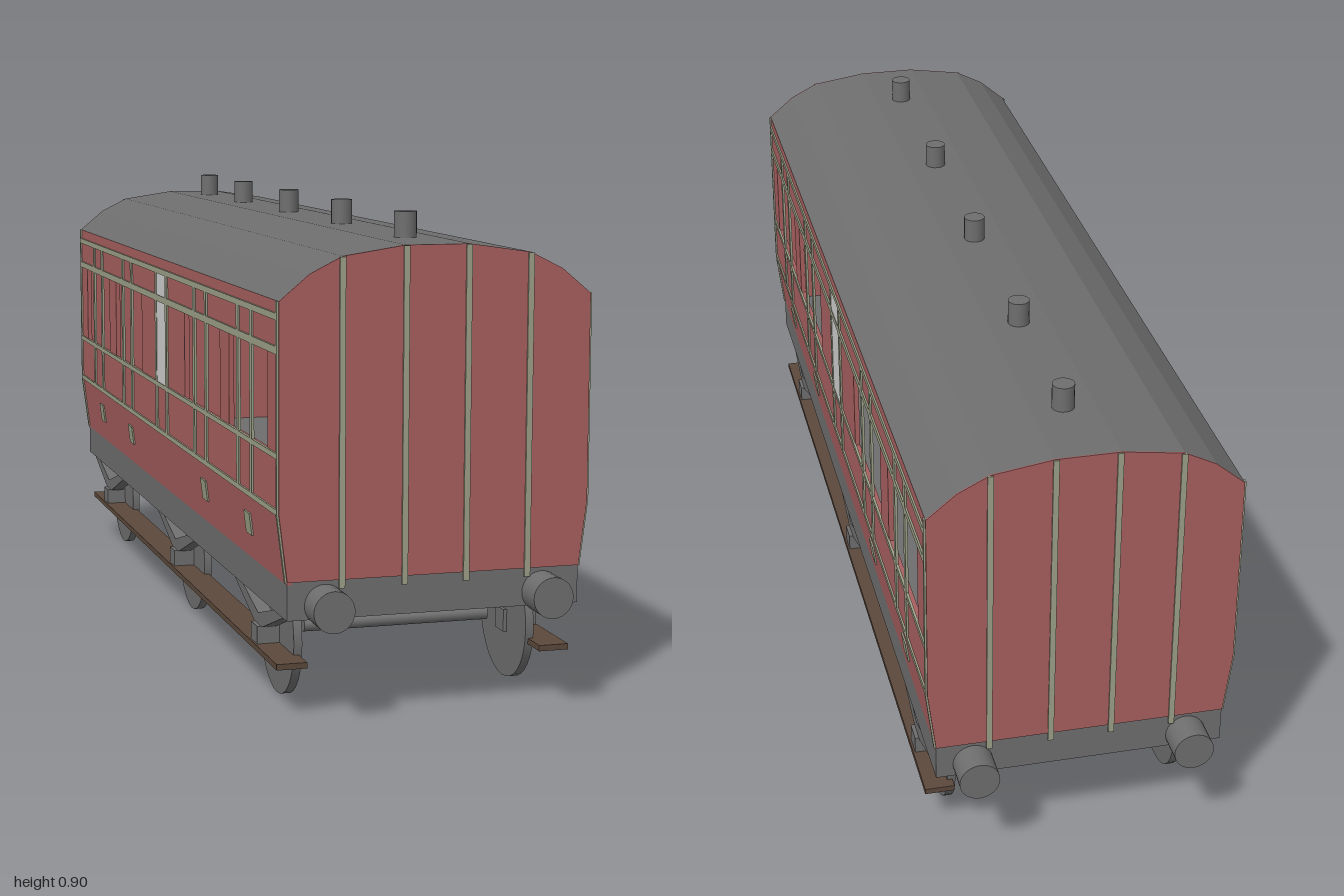
import * as THREE from 'three';

const mat = (name, color) => Object.assign(new THREE.MeshStandardMaterial({ color }), { name });

export function createModel() {
  const red = mat('carriage red', 0xa85f5f);
  const grey = mat('iron grey', 0x6e6e6e);
  const lining = mat('pale lining', 0x9da088);
  const brown = mat('wood brown', 0x5c483c);
  const pale = mat('pale door glass', 0xd0d0d0);

  const model = new THREE.Group();
  model.name = 'railwayCarriage';
  const add = (name, geo, material, x = 0, y = 0, z = 0, parent = model) => {
    const m = new THREE.Mesh(geo, material);
    m.name = name;
    m.position.set(x, y, z);
    parent.add(m);
    return m;
  };
  const box = (name, material, w, h, d, x, y, z, parent) =>
    add(name, new THREE.BoxGeometry(w, h, d), material, x, y, z, parent);
  const poly = (pts) => new THREE.Shape(pts.map(([x, y]) => new THREE.Vector2(x, y)));
  const extrude = (shape, depth) => new THREE.ExtrudeGeometry(shape, { depth, bevelEnabled: false });
  const mirrored = (half) => [...half, ...half.map(([x, y]) => [-x, y]).reverse()];

  const HALF = 0.94;   // half length of the body
  const TILT = Math.atan2(0.015, 0.12);   // inward lean of the lower sides

  // Underframe, whose top is also the floor
  box('underframe', grey, 0.55, 0.07, HALF * 2, 0, 0.225, 0);

  // Curved roof shell
  const outer = [[0.29, 0.757], [0.235, 0.803], [0.175, 0.833], [0.06, 0.85]];
  const inner = [[0.28, 0.757], [0.23, 0.794], [0.172, 0.823], [0.06, 0.84]];
  add('roof', extrude(poly([...mirrored(outer), ...mirrored(inner).reverse()]), HALF * 2),
    grey, 0, 0, -HALF);

  // Roof vents
  for (const z of [0.76, 0.36, -0.035, -0.425, -0.765])
    add('roofVent', new THREE.CylinderGeometry(0.021, 0.021, 0.06, 20), grey, 0, 0.868, z);

  // End walls with vertical lining and buffers
  const endShape = poly(mirrored([[0.275, 0.26], [0.29, 0.38], ...outer]));
  for (const s of [1, -1]) {
    add('endWall', extrude(endShape, 0.003), red, 0, 0, s > 0 ? HALF : -HALF - 0.003);
    for (const [x, top] of [[-0.175, 0.832], [-0.058, 0.849], [0.058, 0.849], [0.175, 0.832]])
      box('endLining', lining, 0.011, top - 0.245, 0.004, x, (top + 0.245) / 2, s * (HALF + 0.004));
    for (const x of [-0.205, 0.205]) {
      const geo = new THREE.CylinderGeometry(0.038, 0.038, 0.06, 28).rotateX(Math.PI / 2);
      add('buffer', geo, grey, x, 0.215, s * 0.97);
    }
  }

  // Upper side wall with four window openings
  const wallShape = poly([[-HALF, 0.38], [HALF, 0.38], [HALF, 0.757], [-HALF, 0.757]]);
  for (const [z1, z0] of [[0.866, 0.587], [0.515, 0.215], [-0.208, -0.5], [-0.58, -0.862]])
    wallShape.holes.push(poly([[-z0, 0.487], [-z1, 0.487], [-z1, 0.67], [-z0, 0.67]]));
  const wallGeo = extrude(wallShape, 0.01).rotateY(Math.PI / 2);

  for (const s of [1, -1]) {
    const side = new THREE.Group();
    side.name = s > 0 ? 'leftSide' : 'rightSide';
    model.add(side);
    add('windowWall', wallGeo, red, s > 0 ? 0.28 : -0.29, 0, 0, side);

    // Leaning lower panel
    const lower = [[0.275, 0.255], [0.29, 0.38], [0.28, 0.38], [0.265, 0.255]];
    add('lowerPanel', extrude(poly(lower.map(([x, y]) => [s * x, y])), HALF * 2), red, 0, 0, -HALF, side);

    // Horizontal and vertical lining
    const x = s * 0.291;
    for (const [y, h] of [[0.73, 0.012], [0.671, 0.014], [0.485, 0.01], [0.385, 0.01]])
      box('horizontalLining', lining, 0.005, h, HALF * 2, x, y, 0, side);
    for (const z of [0.76, 0.662, 0.408, 0.308, 0.052, -0.048, -0.311, -0.41, -0.66, -0.759])
      box('verticalLining', lining, 0.005, 0.345, 0.016, x, 0.5575, z, side);

    // Corner lining follows the lean of the lower panel
    for (const z of [-0.936, 0.936]) {
      box('cornerLining', lining, 0.005, 0.377, 0.008, x, 0.5685, z, side);
      box('lowerCornerLining', lining, 0.005, 0.125, 0.008, s * 0.2835, 0.32, z, side).rotation.z = -s * TILT;
    }

    // Door glass and step plates
    box('doorGlass', pale, 0.004, 0.237, 0.084, s * 0.2905, 0.606, 0.002, side);
    for (const z of [0.71, 0.362, -0.36, -0.705])
      box('sidePlate', lining, 0.005, 0.042, 0.042, s * 0.284, 0.324, z, side).rotation.z = -s * TILT;

    // Long footboard
    box('footboard', brown, 0.057, 0.011, 1.75, s * 0.2515, 0.094, 0.015, side);
  }

  // Wheelsets with axle boxes and V-shaped springs
  const springShape = poly([[-0.205, 0.195], [-0.03, 0.133], [0.03, 0.133], [0.205, 0.195],
    [0.15, 0.195], [0, 0.154], [-0.15, 0.195]]);
  const springGeo = extrude(springShape, 0.027).rotateY(Math.PI / 2).translate(-0.0135, 0, 0);
  const wheelGeo = new THREE.CylinderGeometry(0.12, 0.12, 0.016, 36).rotateZ(Math.PI / 2);
  const axleGeo = new THREE.CylinderGeometry(0.013, 0.013, 0.364, 16).rotateZ(Math.PI / 2);
  for (const z of [0.716, 0.02, -0.722]) {
    const set = new THREE.Group();
    set.name = 'wheelset';
    set.position.z = z;
    model.add(set);
    add('axle', axleGeo, grey, 0, 0.125, 0, set);
    for (const s of [1, -1]) {
      add('wheel', wheelGeo, grey, s * 0.225, 0.12, 0, set);
      box('axleBox', grey, 0.066, 0.043, 0.044, s * 0.243, 0.1115, 0, set);
      add('spring', springGeo, grey, s * 0.255, 0, 0, set);
    }
  }
  return model;
}
